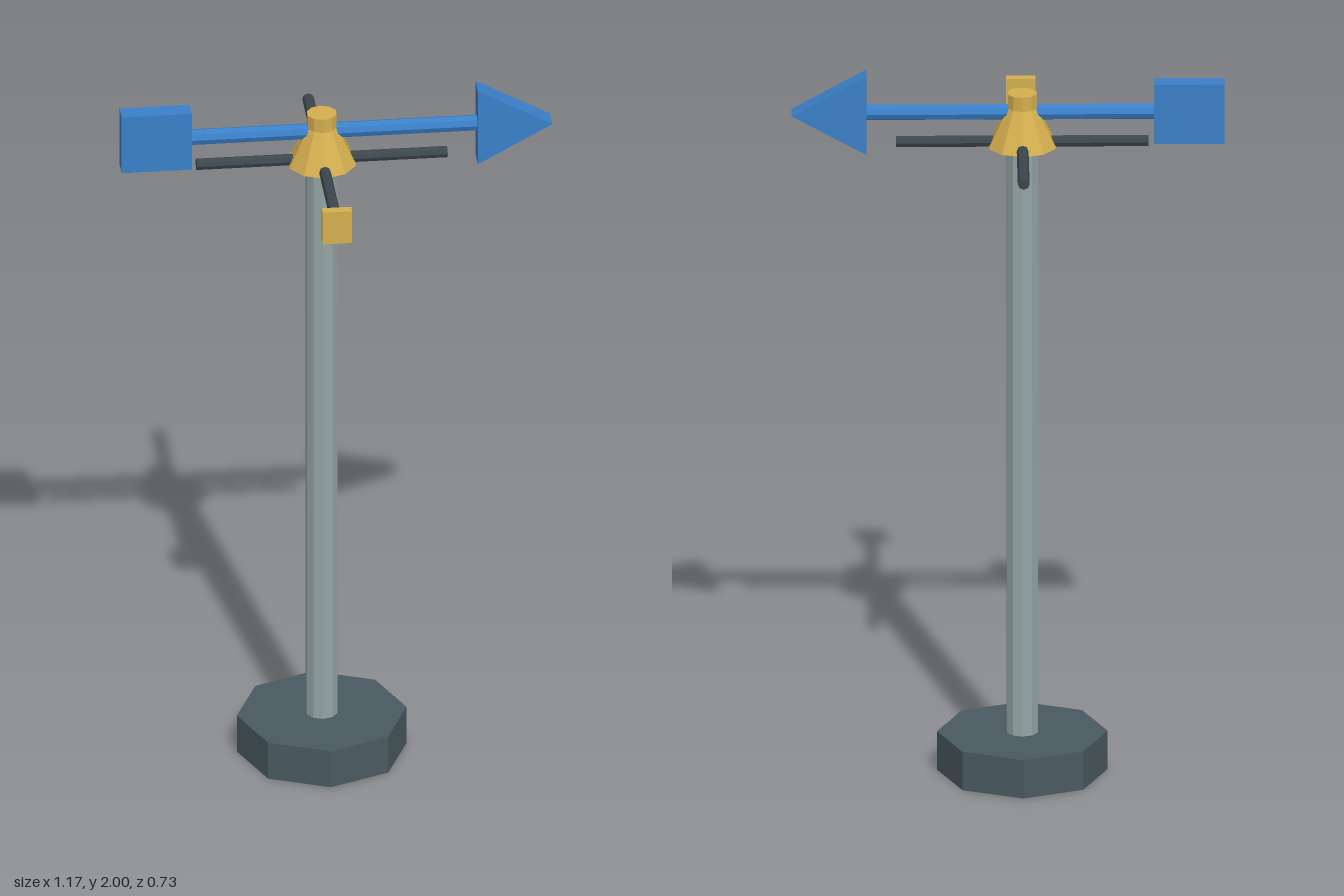
import * as THREE from 'three';

const material = (color) => new THREE.MeshStandardMaterial({ color, flatShading: true });

export function createModel() {
  const model = new THREE.Group();
  model.name = 'weatherVane';

  const slate = material(0x4a5a60);
  const steel = material(0x95a5a6);
  const iron = material(0x3c464c);
  const gold = material(0xd4af4f);
  const blue = material(0x3a80c8);

  // Everything on the mast shares one vertical axis
  const vane = new THREE.Group();
  vane.name = 'vane';
  vane.position.set(-0.04, 0, -0.03);
  model.add(vane);

  const add = (name, geometry, mat, x, y, z) => {
    const mesh = new THREE.Mesh(geometry, mat);
    mesh.name = name;
    mesh.position.set(x, y, z);
    vane.add(mesh);
    return mesh;
  };

  // Upright turned parts, given by their bottom and top heights
  const turned = (name, mat, rTop, rBottom, y0, y1, sides) =>
    add(name, new THREE.CylinderGeometry(rTop, rBottom, y1 - y0, sides), mat, 0, (y0 + y1) / 2, 0);

  turned('base', slate, 0.23, 0.23, 0, 0.11, 8);
  turned('pole', steel, 0.044, 0.044, 0.11, 1.8, 10);
  turned('hubCone', gold, 0.042, 0.095, 1.79, 1.9, 10);
  turned('hubCap', gold, 0.041, 0.041, 1.88, 1.94, 10);

  // Crossed direction rods
  const rod = new THREE.CylinderGeometry(0.016, 0.016, 0.68, 8);
  add('sideRod', rod, iron, 0, 1.802, 0).rotation.z = Math.PI / 2;
  add('frontRod', rod, iron, 0, 1.802, 0).rotation.x = Math.PI / 2;

  // Marker plate in front of the rod
  add('frontMarker', new THREE.BoxGeometry(0.08, 0.097, 0.026), gold, 0, 1.798, 0.38);

  // Wind arrow: shaft, tail plate and triangular head
  const arrowY = 1.886;
  add('arrowShaft', new THREE.CylinderGeometry(0.022, 0.022, 0.78, 8), blue, 0.03, arrowY, 0)
    .rotation.z = Math.PI / 2;
  add('arrowTail', new THREE.BoxGeometry(0.19, 0.17, 0.053), blue, -0.45, arrowY, 0);

  const head = new THREE.Shape([
    new THREE.Vector2(0, -0.112),
    new THREE.Vector2(0.202, 0),
    new THREE.Vector2(0, 0.112),
  ]);
  const headGeometry = new THREE.ExtrudeGeometry(head, { depth: 0.06, bevelEnabled: false });
  add('arrowHead', headGeometry, blue, 0.42, arrowY, -0.03);

  return model;
}
